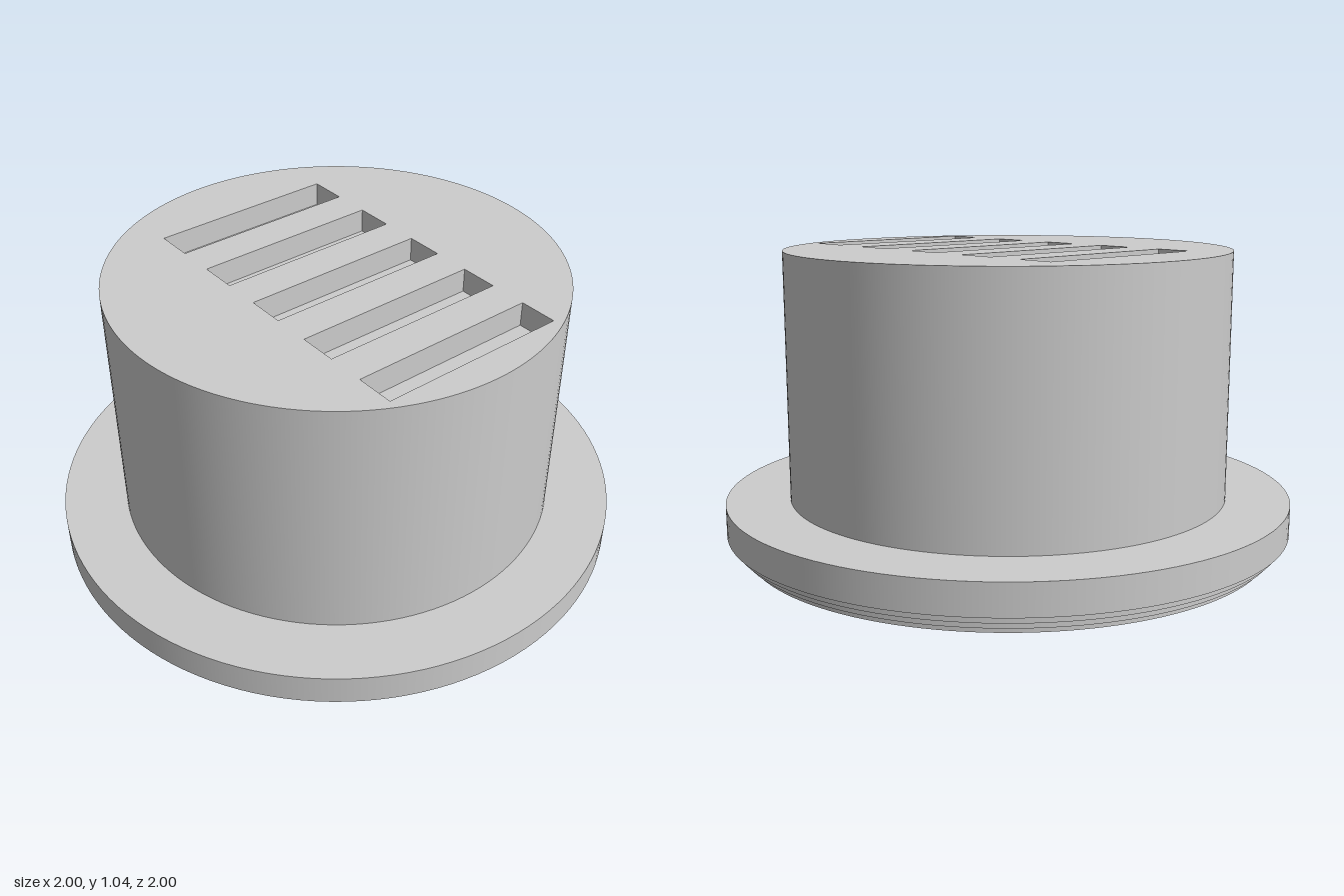
import * as THREE from 'three';
import { mergeGeometries } from 'three/addons/utils/BufferGeometryUtils.js';

const SEGMENTS = 128;
const HEIGHT = 1.045, BODY_R = 0.778, BASE_R = 0.935;
const SLOT_W = 0.134, SLOT_L = 0.67, SLOT_DEPTH = 0.085;
const HEX_R = 0.57;

// Revolved shell with a sharp edge at every profile point
function turned(profile) {
  const bands = [];
  for (let i = 0; i < profile.length - 1; i++) {
    const pair = [profile[i], profile[i + 1]].map(([r, y]) => new THREE.Vector2(r, y));
    bands.push(new THREE.LatheGeometry(pair, SEGMENTS));
  }
  return mergeGeometries(bands);
}

function disc(radius) {
  return new THREE.Shape().absarc(0, 0, radius, 0, Math.PI * 2, false);
}

// Inside-out box without its lid
function slotGeometry() {
  const box = new THREE.BoxGeometry(SLOT_W, SLOT_DEPTH, SLOT_L).scale(-1, 1, 1);
  box.setIndex(Array.from(box.index.array).filter((_, k) => k < 12 || k >= 18));
  box.clearGroups();
  box.computeVertexNormals();
  return box;
}

// Hex socket: tapered lead-in, with a deep hexagon turned by 30 degrees
function socketGeometry() {
  const taperR = 0.48, taperH = 0.085, depth = 0.667;
  const deepR = HEX_R * Math.cos(Math.PI / 6);
  const u = deepR * Math.cos(Math.PI / 6), w = deepR / 2;
  const pv = (taperR - u) * Math.sqrt(3);
  const positions = [];
  for (let i = 0; i < 6; i++) {
    const c = Math.cos(i * Math.PI / 3), s = Math.sin(i * Math.PI / 3);
    const at = (r, t, y) => [r * c - t * s, y, r * s + t * c];
    const fan = (...p) => {
      for (let k = 1; k < p.length - 1; k++) positions.push(...p[0], ...p[k], ...p[k + 1]);
    };
    const rim = at(HEX_R, 0, 0), tip = at(taperR, 0, taperH);
    const m0 = at(u, -w, 0), m1 = at(u, w, 0);
    const p0 = at(u, -pv, taperH), p1 = at(u, pv, taperH);
    const d0 = at(u, -w, depth), d1 = at(u, w, depth);
    fan(rim, m1, p1, tip);          // taper, one half
    fan(m0, rim, tip, p0);          // taper, other half
    fan(tip, p1, p0);               // small ledge
    fan(d0, m0, p0, p1, m1, d1);    // deep wall
    fan([0, depth, 0], d0, d1);     // socket floor
  }
  const g = new THREE.BufferGeometry();
  g.setAttribute('position', new THREE.Float32BufferAttribute(positions, 3));
  g.computeVertexNormals();
  return g;
}

export function createModel() {
  const group = new THREE.Group();
  const grey = new THREE.MeshStandardMaterial({ color: 0xcccccc });
  grey.name = 'grey';
  const add = (name, geometry) => {
    const mesh = new THREE.Mesh(geometry, grey);
    mesh.name = name;
    group.add(mesh);
    return mesh;
  };

  // Flange with small steps underneath, and the plain barrel above it
  add('steppedFlange', turned([
    [BASE_R, 0], [BASE_R, 0.022], [0.957, 0.022], [0.957, 0.046],
    [0.979, 0.046], [0.979, 0.07], [1, 0.07], [1, 0.178], [BODY_R, 0.178],
  ]));
  add('barrel', turned([[BODY_R, 0.178], [BODY_R, HEIGHT]]));

  // Top face with five recessed slots
  const top = disc(BODY_R);
  for (let i = 0; i < 5; i++) {
    const x = 0.065 + (i - 2) * 0.267;
    const a = x - SLOT_W / 2, b = x + SLOT_W / 2, l = SLOT_L / 2;
    top.holes.push(new THREE.Path([[a, -l], [a, l], [b, l], [b, -l]]
      .map(([px, py]) => new THREE.Vector2(px, py))));
    add('slot' + (i + 1), slotGeometry()).position.set(x, HEIGHT - SLOT_DEPTH / 2, 0);
  }
  add('topFace', new THREE.ShapeGeometry(top, SEGMENTS).rotateX(-Math.PI / 2).translate(0, HEIGHT, 0));

  // Underside with its hexagonal opening
  const bottom = disc(BASE_R);
  bottom.holes.push(new THREE.Path(Array.from({ length: 6 }, (_, i) =>
    new THREE.Vector2(HEX_R * Math.cos(i * Math.PI / 3), HEX_R * Math.sin(i * Math.PI / 3)))));
  add('underside', new THREE.ShapeGeometry(bottom, SEGMENTS).rotateX(Math.PI / 2));
  add('hexSocket', socketGeometry());

  return group;
}
